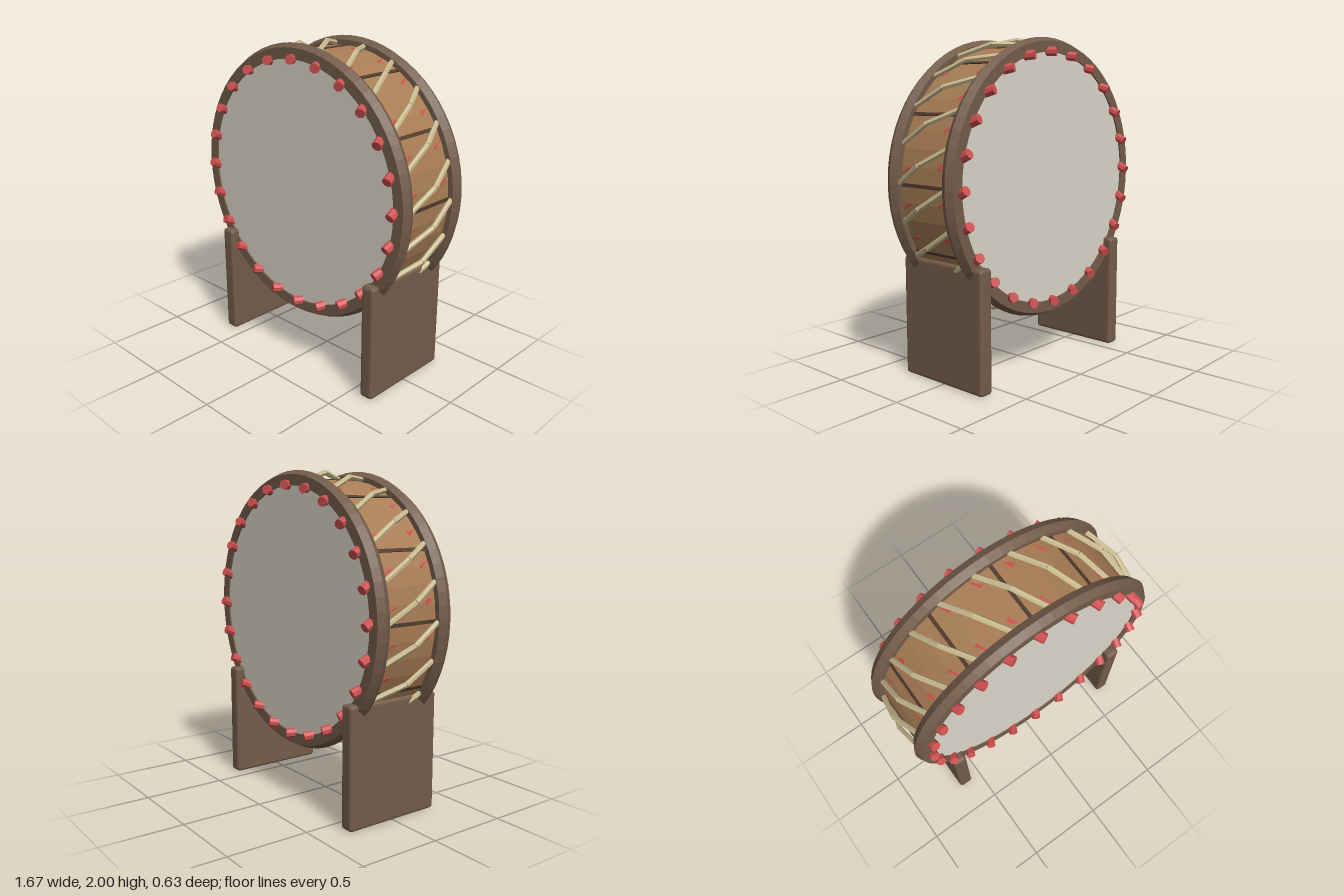
import * as THREE from 'three';
import { RoundedBoxGeometry } from 'three/addons/geometries/RoundedBoxGeometry.js';

const CENTRE_Y = 1.16;
const UP = new THREE.Vector3(0, 1, 0);

const paint = (color, extra = {}) => new THREE.MeshStandardMaterial({ color, flatShading: true, ...extra });

function add(parent, name, geometry, material) {
  const mesh = new THREE.Mesh(geometry, material);
  mesh.name = name;
  parent.add(mesh);
  return mesh;
}

// Point on the drum: angle around the z axis, radius and depth
const polar = (angle, r, z) => new THREE.Vector3(Math.cos(angle) * r, Math.sin(angle) * r, z);

// Straight rod between two points
function rod(parent, name, a, b, radius, sides, material) {
  const dir = b.clone().sub(a);
  const mesh = add(parent, name, new THREE.CylinderGeometry(radius, radius, dir.length(), sides), material);
  mesh.position.copy(a).add(b).multiplyScalar(0.5);
  mesh.quaternion.setFromUnitVectors(UP, dir.normalize());
  return mesh;
}

export function createModel() {
  const model = new THREE.Group();
  model.name = 'standingDrum';
  const wood = paint(0x735c4a);
  const shellWood = paint(0xa87d55, { side: THREE.DoubleSide });
  const seamWood = paint(0x503c2c);
  const skin = paint(0xdad5c8);
  const red = paint(0xd05050);
  const cord = paint(0xcabd92);

  const drum = new THREE.Group();
  drum.name = 'drum';
  drum.position.y = CENTRE_Y;
  model.add(drum);

  // Shell
  const shell = new THREE.CylinderGeometry(0.78, 0.78, 0.46, 48, 1, true);
  add(drum, 'shell', shell.rotateX(Math.PI / 2), shellWood);

  // Dark seams between the planks
  for (let i = 0; i < 12; i++) {
    const seam = add(drum, 'plankSeam', new THREE.BoxGeometry(0.02, 0.02, 0.4), seamWood);
    const angle = (i / 12) * Math.PI * 2;
    seam.position.copy(polar(angle, 0.775, 0));
    seam.rotation.z = angle;
  }

  // Hoops with a ridged outer edge, and the drum skins
  const hoopProfile = [
    [0.745, -0.043], [0.81, -0.043], [0.833, 0], [0.81, 0.043], [0.745, 0.043], [0.745, -0.043],
  ].map(([r, y]) => new THREE.Vector2(r, y));
  for (const side of [1, -1]) {
    const hoop = add(drum, 'hoop', new THREE.LatheGeometry(hoopProfile, 64).rotateX(Math.PI / 2), wood);
    hoop.position.z = side * 0.222;
    const head = add(drum, 'drumSkin', new THREE.CylinderGeometry(0.75, 0.75, 0.02, 64).rotateX(Math.PI / 2), skin);
    head.position.z = side * 0.245;
  }

  // Slanted pegs; the inner tips break through the shell
  for (let i = 0; i < 24; i++) {
    const angle = (i / 24) * Math.PI * 2;
    const tangent = polar(angle + Math.PI / 2, 1, 0);
    for (const side of [1, -1]) {
      const outer = polar(angle, 0.748, side * 0.3);
      const inner = polar(angle, 0.748, side * 0.11).addScaledVector(tangent, side * 0.1);
      rod(drum, 'peg', outer, inner, 0.029, 8, red);
    }
  }

  // Tension cords, bent outwards at the middle
  for (let i = 0; i < 22; i++) {
    const angle = Math.PI / 2 + (i / 22) * Math.PI * 2;
    const half = 0.145;
    const middle = polar(angle, 0.824, 0);
    rod(drum, 'cord', polar(angle - half, 0.79, 0.2), middle, 0.016, 6, cord);
    rod(drum, 'cord', middle, polar(angle + half, 0.79, -0.2), 0.016, 6, cord);
  }

  // Side boards that carry the drum
  for (const side of [1, -1]) {
    const leg = add(model, side > 0 ? 'leftLeg' : 'rightLeg', new RoundedBoxGeometry(0.09, 0.72, 0.63, 2, 0.02), wood);
    leg.position.set(side * 0.615, 0.36, 0);
  }

  return model;
}
